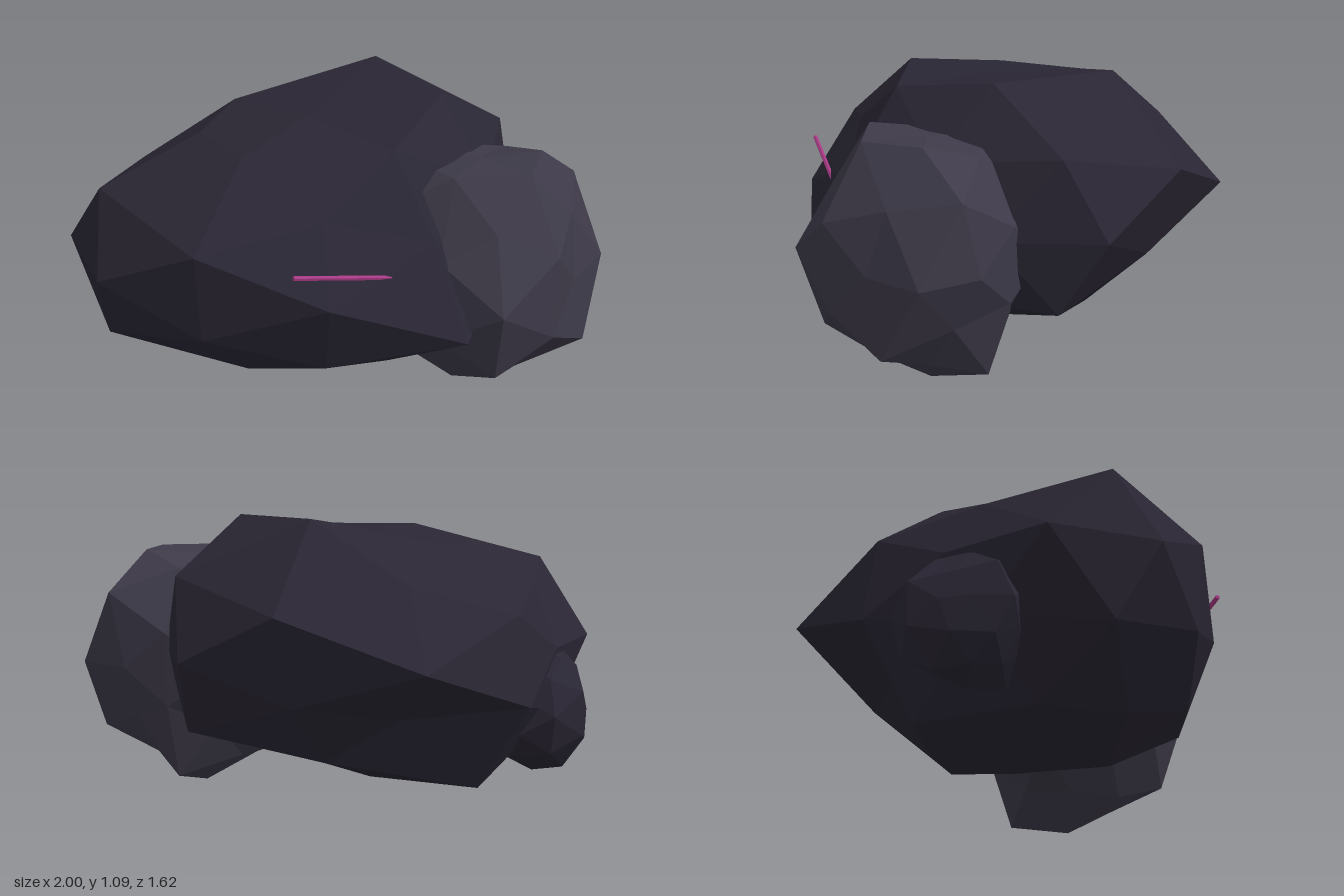
import * as THREE from 'three';

// Radii of each rock's 42 corners, grouped by dominant axis (x, y, z);
// within a group the signs run from all positive to all negative.
const LARGE = {
  axis: [[0.8, 0.9], [0.72, 0.89], [0.89, 1.05]],
  corner: [[0.8, 0.95, 0.94, 0.77], [0.97, 0.78, 0.76, 0.95], [0.77, 0.88, 0.885, 0.7]],
  mid: [
    [0.8, 0.98, 0.8, 0.93, 0.96, 0.75, 0.95, 0.85],
    [0.89, 1.04, 0.85, 0.82, 0.87, 0.8, 0.85, 1.03],
    [0.8, 1.01, 1.01, 0.84, 0.92, 0.85, 0.88, 0.92],
  ],
};
const MEDIUM = {
  axis: [[0.48, 0.42], [0.355, 0.42], [0.5, 0.44]],
  corner: [[0.385, 0.4, 0.43, 0.43], [0.435, 0.37, 0.4, 0.39], [0.41, 0.42, 0.47, 0.36]],
  mid: [
    [0.4, 0.485, 0.48, 0.35, 0.5, 0.42, 0.42, 0.5],
    [0.455, 0.4, 0.38, 0.45, 0.455, 0.42, 0.4, 0.38],
    [0.45, 0.4, 0.44, 0.38, 0.4, 0.42, 0.42, 0.42],
  ],
};
const wobble = (n, seed) => [0, 1, 2].map((a) =>
  Array.from({ length: n }, (_, i) => 0.23 + 0.03 * Math.sin(seed + a * 5.3 + i * 2.7)));
const SMALL = { axis: wobble(2, 1), corner: wobble(4, 2), mid: wobble(8, 3) };

// Faceted rock: a subdivided icosahedron with each corner pushed in or out
function rock(name, radii, center, scale, color) {
  const geo = new THREE.IcosahedronGeometry(1, 1);
  const pos = geo.attributes.position;
  const v = new THREE.Vector3();
  for (let i = 0; i < pos.count; i++) {
    v.fromBufferAttribute(pos, i);
    const c = v.toArray();
    const abs = c.map(Math.abs);
    const max = Math.max(...abs);
    const type = max > 0.95 ? 'axis' : max > 0.83 ? 'corner' : 'mid';
    let index = 0;
    c.forEach((n) => { if (Math.abs(n) > 0.1) index = index * 2 + (n < 0 ? 1 : 0); });
    v.multiplyScalar(radii[type][abs.indexOf(max)][index]);
    pos.setXYZ(i, v.x * scale[0], v.y * scale[1], v.z * scale[2]);
  }
  geo.computeVertexNormals();
  const mesh = new THREE.Mesh(geo, new THREE.MeshStandardMaterial({ color, flatShading: true }));
  mesh.name = name;
  mesh.position.set(...center);
  return mesh;
}

// Thin straight sliver between two points
function sliver(name, from, to, radius, color) {
  const a = new THREE.Vector3(...from);
  const b = new THREE.Vector3(...to);
  const mesh = new THREE.Mesh(
    new THREE.CylinderGeometry(radius, radius, a.distanceTo(b), 6),
    new THREE.MeshStandardMaterial({ color, flatShading: true }));
  mesh.name = name;
  mesh.position.copy(a).add(b).multiplyScalar(0.5);
  mesh.quaternion.setFromUnitVectors(new THREE.Vector3(0, 1, 0), b.sub(a).normalize());
  return mesh;
}

export function createModel() {
  const model = new THREE.Group();
  model.name = 'rockCluster';
  model.add(
    rock('largeBoulder', LARGE, [-0.1, 0.58, 0.06], [1, 0.613, 0.83], 0x2a2634),
    rock('mediumBoulder', MEDIUM, [0.52, 0.5, 0.29], [1, 1.18, 0.97], 0x3e3a49),
    rock('smallBoulder', SMALL, [-0.69, 0.345, -0.185], [1, 1.06, 1.05], 0x2a2634),
    sliver('crystalVein', [-0.225, 0.718, 0.797], [0.13, 0.645, 0.685], 0.009, 0xa83a86),
  );
  return model;
}
